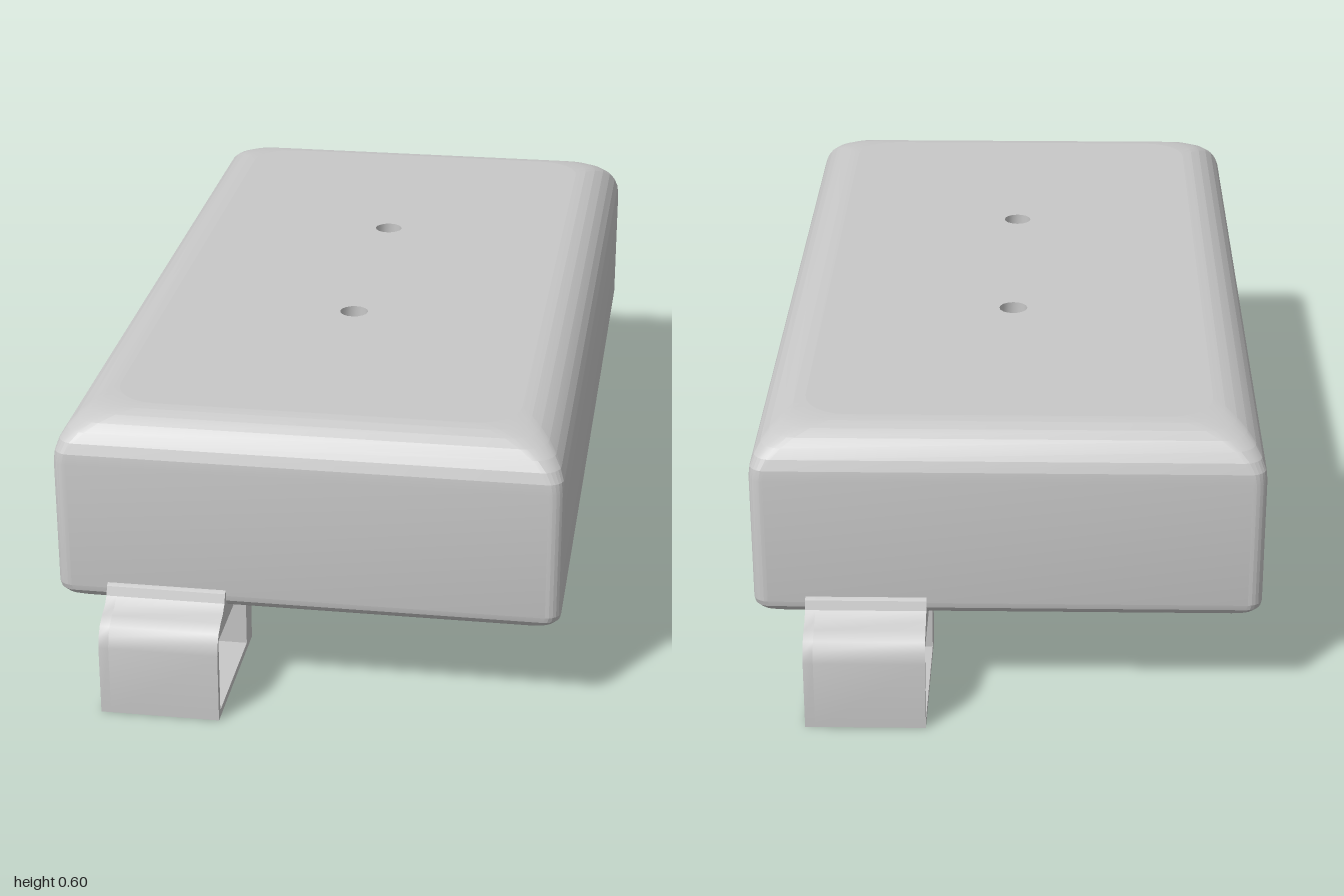
import * as THREE from 'three';
import { toCreasedNormals } from 'three/addons/utils/BufferGeometryUtils.js';

const HALF_W = 0.505, HALF_L = 0.905, BOTTOM = 0.2, TOP = 0.595;
const TOP_R = 0.1, BOTTOM_R = 0.03;

// Rounded rectangle outline; the corners widen as the outline moves inwards
function outline(inset) {
  const w = HALF_W - inset, l = HALF_L - inset, r = 0.03 + inset * 0.6;
  const corners = [[w - r, l - r], [r - w, l - r], [r - w, r - l], [w - r, r - l]];
  const points = [];
  corners.forEach(([cx, cy], q) => {
    for (let i = 0; i <= 6; i++) {
      const a = (q + i / 6) * Math.PI / 2;
      points.push(new THREE.Vector2(cx + r * Math.cos(a), cy + r * Math.sin(a)));
    }
  });
  return points;
}

// Walls with a small fillet below and a large faceted one above
function shellGeometry() {
  const levels = [];
  for (let i = 0; i <= 4; i++) {
    const a = i / 4 * Math.PI / 2;
    levels.push([BOTTOM + BOTTOM_R * (1 - Math.cos(a)), BOTTOM_R * (1 - Math.sin(a))]);
  }
  for (let i = 0; i <= 7; i++) {
    const a = i / 7 * Math.PI / 2;
    levels.push([TOP - TOP_R * (1 - Math.sin(a)), TOP_R * (1 - Math.cos(a))]);
  }
  const positions = [], index = [];
  let n = 0;
  levels.forEach(([y, inset]) => {
    const ring = outline(inset);
    n = ring.length;
    ring.forEach(p => positions.push(p.x, y, -p.y));
  });
  for (let i = 0; i < levels.length - 1; i++) {
    for (let j = 0; j < n; j++) {
      const k = (j + 1) % n;
      const a = i * n + j, b = i * n + k, c = b + n, d = a + n;
      index.push(a, b, c, a, c, d);
    }
  }
  const geometry = new THREE.BufferGeometry();
  geometry.setAttribute('position', new THREE.Float32BufferAttribute(positions, 3));
  geometry.setIndex(index);
  return toCreasedNormals(geometry, 0.2);
}

// Flat panel pierced by round holes, laid at height y
function panelGeometry(inset, holes, radius, tilt, y) {
  const shape = new THREE.Shape(outline(inset));
  holes.forEach(([x, z]) => {
    const hole = new THREE.Path();
    hole.absarc(x, z, radius, 0, Math.PI * 2, true);
    shape.holes.push(hole);
  });
  return new THREE.ShapeGeometry(shape, 8).rotateX(tilt).translate(0, y, 0);
}

export function createModel() {
  const model = new THREE.Group();
  const grey = new THREE.MeshStandardMaterial({ color: 0xc8c8c8, side: THREE.DoubleSide });
  grey.name = 'grey';

  const add = (parent, name, geometry) => {
    const mesh = new THREE.Mesh(geometry, grey);
    mesh.name = name;
    parent.add(mesh);
    return mesh;
  };

  // Case
  const body = new THREE.Group();
  body.name = 'case';
  model.add(body);
  const topHoles = [[0, -0.265], [0, 0.265]];
  const bottomHoles = [];
  for (const x of [-0.225, 0.225]) {
    for (const z of [-0.577, -0.12, 0.12, 0.577]) bottomHoles.push([x, z]);
  }
  add(body, 'walls', shellGeometry());
  add(body, 'topPanel', panelGeometry(TOP_R, topHoles, 0.03, -Math.PI / 2, TOP));
  add(body, 'bottomPanel', panelGeometry(BOTTOM_R, bottomHoles, 0.025, Math.PI / 2, BOTTOM));

  // Blind bores behind the holes
  const bore = (name, x, z, y, depth, radius) => {
    const cup = new THREE.LatheGeometry([
      new THREE.Vector2(0, -depth), new THREE.Vector2(radius, -depth), new THREE.Vector2(radius, 0),
    ], 16);
    add(body, name, toCreasedNormals(cup, 0.6)).position.set(x, y, z);
  };
  topHoles.forEach(([x, z]) => bore('topHole', x, z, TOP, 0.06, 0.03));
  bottomHoles.forEach(([x, z]) => bore('bottomHole', x, z, BOTTOM, -0.06, 0.025));

  // Hollow foot, open on its inner side, with a curved shoulder against the case
  const profile = () => new THREE.Shape([
    [0.655, 0], [1, 0], [1, 0.145], [0.994, 0.168], [0.982, 0.185], [0.96, 0.198],
    [0.937, 0.206], [0.92, 0.22], [0.913, 0.238], [0.9, 0.245], [0.86, 0.245],
    [0.86, 0.202], [0.655, 0.202],
  ].map(([z, y]) => new THREE.Vector2(z, y)));
  const extrudeX = (shape, depth, x) => toCreasedNormals(
    new THREE.ExtrudeGeometry(shape, { depth, bevelEnabled: false })
      .rotateY(-Math.PI / 2).translate(x, 0, 0), 0.5);

  for (const [name, turn] of [['frontFoot', 0], ['backFoot', Math.PI]]) {
    const foot = new THREE.Group();
    foot.name = name;
    const tube = profile();
    tube.holes.push(new THREE.Path([
      [0.71, 0.015], [0.71, 0.172], [0.985, 0.172], [0.985, 0.015],
    ].map(([z, y]) => new THREE.Vector2(z, y))));
    add(foot, 'footSleeve', extrudeX(tube, 0.22, -0.16));
    add(foot, 'footEnd', extrudeX(profile(), 0.02, -0.38));
    foot.rotation.y = turn;
    model.add(foot);
  }
  return model;
}
